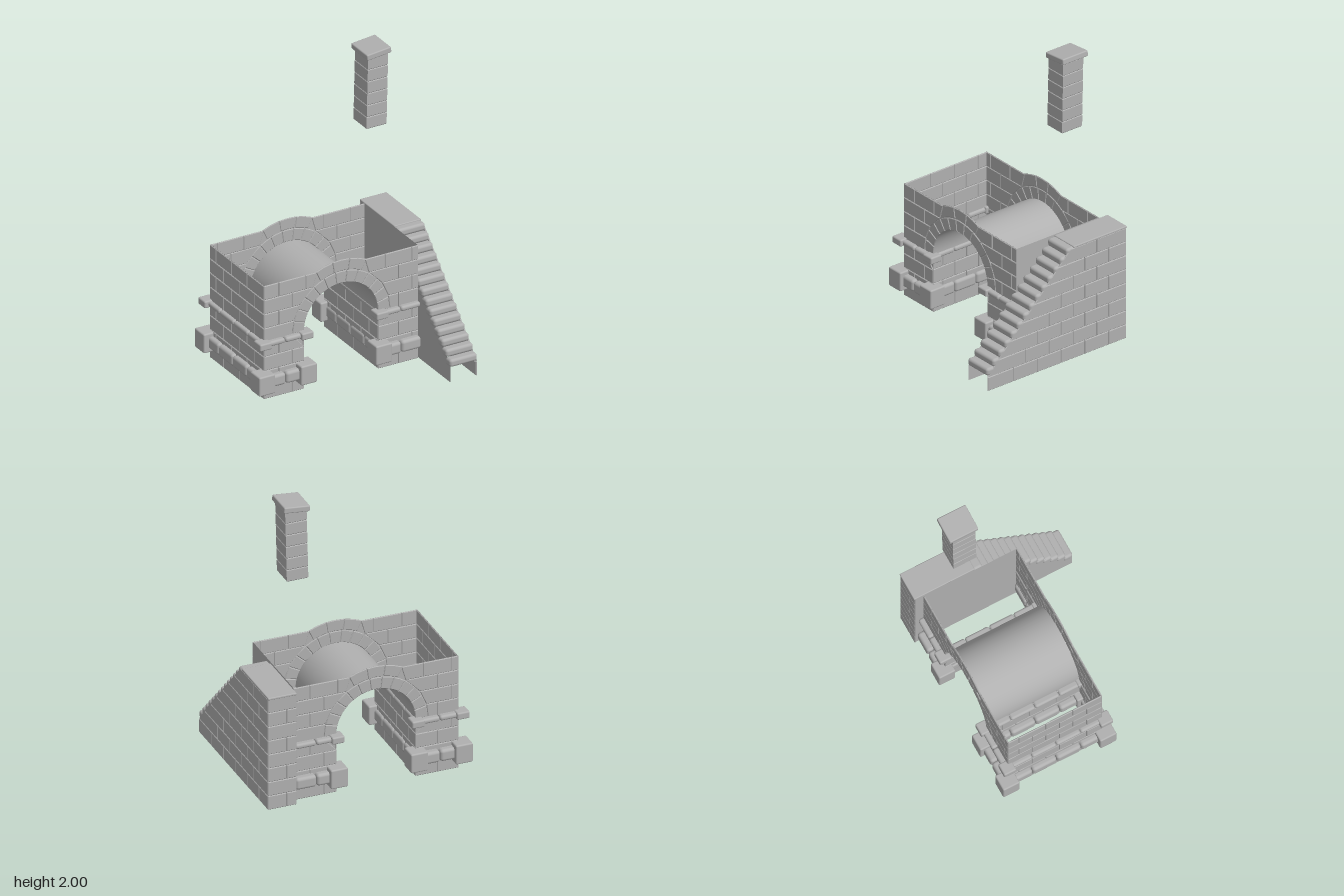
import * as THREE from 'three';
import { RoundedBoxGeometry } from 'three/addons/geometries/RoundedBoxGeometry.js';

const stone = new THREE.MeshStandardMaterial({ color: 0xb0b0b0, side: THREE.DoubleSide });
stone.name = 'grey stone';

const CX = -0.065;       // centre of the house in x
const CZ = -0.163;       // centre of the house in z
const HALF = 0.548;      // half width of the arched walls
const TOP = 0.785;       // wall height
const SPRING = 0.4;      // height where the arch starts
const ARCH = 0.265;      // arch opening radius

function add(parent, name, geometry, x = 0, y = 0, z = 0) {
  const mesh = new THREE.Mesh(geometry, stone);
  mesh.name = name;
  mesh.position.set(x, y, z);
  parent.add(mesh);
  return mesh;
}

function group(parent, name, x = 0, y = 0, z = 0, turn = 0) {
  const g = new THREE.Group();
  g.name = name;
  g.position.set(x, y, z);
  g.rotation.y = turn;
  parent.add(g);
  return g;
}

const polygon = (pts) => new THREE.Shape(pts.map(([x, y]) => new THREE.Vector2(x, y)));

// A slightly raised, bevelled stone on the plane z = 0
function slab(parent, name, pts) {
  add(parent, name, new THREE.ExtrudeGeometry(polygon(pts), {
    depth: 0.002, bevelThickness: 0.004, bevelSize: 0.004, bevelOffset: -0.004, bevelSegments: 1,
  }));
}

// Running bond of bricks between two edges given as functions of height
function bricks(parent, lo, hi, height, rows) {
  const h = height / rows, gap = 0.001, length = 0.19;
  for (let r = 0; r < rows; r++) {
    const a = r * h + gap, b = (r + 1) * h - gap;
    const joints = [];
    const min = Math.max(lo(a), lo(b)) + 0.045, max = Math.min(hi(a), hi(b)) - 0.045;
    for (let k = -6; k <= 6; k++) {
      const x = (k + (r % 2) / 2) * length + 0.03;
      if (x > min && x < max) joints.push(x);
    }
    for (let i = 0; i <= joints.length; i++) {
      const left = (y) => (i === 0 ? lo(y) : joints[i - 1] + gap);
      const right = (y) => (i === joints.length ? hi(y) : joints[i] - gap);
      slab(parent, 'brick', [[left(a), a], [right(a), a], [right(b), b], [left(b), b]]);
    }
  }
}

// Ring of wedge stones around the arch centre
function wedges(parent, name, r0, r1, from, to, count) {
  const step = (to - from) / count;
  for (let i = 0; i < count; i++) {
    const a = from + i * step + 0.004, b = a + step - 0.008;
    const p = (r, t) => [r * Math.cos(t), SPRING + r * Math.sin(t)];
    const m = (a + b) / 2;
    slab(parent, name, [p(r0, a), p(r1, a), p(r1, m), p(r1, b), p(r0, b), p(r0, m)]);
  }
}

// Wall with arched opening and a raised crown
function archWall(parent, name, z, turn) {
  const g = group(parent, name, CX, 0, z, turn);
  const crown = 0.425, t = Math.asin((TOP - SPRING) / crown);
  const s = new THREE.Shape();
  s.moveTo(-HALF, 0);
  s.lineTo(-ARCH, 0);
  s.lineTo(-ARCH, SPRING);
  s.absarc(0, SPRING, ARCH, Math.PI, 0, true);
  s.lineTo(ARCH, 0);
  s.lineTo(HALF, 0);
  s.lineTo(HALF, TOP);
  s.absarc(0, SPRING, crown, t, Math.PI - t, false);
  s.lineTo(-HALF, TOP);
  add(g, 'wall', new THREE.ShapeGeometry(s, 24));
  const cut = (y) => (y < 0.39 ? ARCH
    : Math.max(0.172, Math.sqrt(Math.max(0, 0.35 ** 2 - (y - SPRING) ** 2))));
  const edge = HALF + 0.005;
  bricks(g, () => -edge, (y) => -cut(y), TOP, 8);
  bricks(g, cut, () => edge, TOP, 8);
  wedges(g, 'arch stone', ARCH, 0.346, 0, Math.PI, 13);
  wedges(g, 'crown stone', 0.35, crown, t, Math.PI - t, 3);
}

// Straight wall, optionally faced with bricks
function flatWall(parent, name, pts, x, z, turn, lo, hi, height, rows) {
  const g = group(parent, name, x, 0, z, turn);
  add(g, 'wall', new THREE.ShapeGeometry(polygon(pts)));
  if (lo) bricks(g, lo, hi, height, rows);
}

const rect = (w, h) => [[-w, 0], [w, 0], [w, h], [-w, h]];

// Rounded moulding made of several stones between two points
function bar(parent, name, x0, z0, x1, z1, y, height, depth) {
  const alongX = z0 === z1, len = Math.abs(x1 - x0) + Math.abs(z1 - z0);
  const count = Math.max(2, Math.round(len / 0.16));
  for (let i = 0; i < count; i++) {
    const f = (i + 0.5) / count, l = len / count - 0.002;
    add(parent, name, new RoundedBoxGeometry(alongX ? l : depth, height, alongX ? depth : l, 3, depth * 0.3),
      x0 + (x1 - x0) * f, y, z0 + (z1 - z0) * f);
  }
}

// Corner blocks and bars around the two piers
function trims(parent) {
  const xs = [-0.63, -0.33, 0.206], zs = [-0.505, 0.175];
  const levels = [
    { name: 'plinth', y: 0.127, block: [0.115, 0.132], bar: [0.08, 0.065] },
    { name: 'ledge', y: 0.387, block: [0.085, 0.048], bar: [0.034, 0.05] },
  ];
  for (const { name, y, block, bar: [h, d] } of levels) {
    const g = group(parent, name);
    for (const z of zs) {
      for (const x of xs) {
        add(g, name + ' corner', new RoundedBoxGeometry(block[0], block[1], block[0], 2, 0.01), x, y, z);
      }
      bar(g, name + ' bar', xs[0], z, xs[1], z, y, h, d);
      bar(g, name + ' bar', xs[2], z, 0.488, z, y, h, d);
    }
    for (const x of [-0.62, -0.343, 0.222]) bar(g, name + ' bar', x, zs[0], x, zs[1], y, h, d);
  }
}

function house(parent) {
  const g = group(parent, 'house');
  archWall(g, 'frontWall', 0.162, 0);
  archWall(g, 'backWall', -0.488, Math.PI);
  const w = 0.325, edge = () => w + 0.005, start = () => -w - 0.005;
  flatWall(g, 'outerWall', rect(w, TOP), CX - HALF, CZ, -Math.PI / 2, start, edge, TOP, 8);
  flatWall(g, 'stairSideWall', rect(w, TOP), CX + HALF + 0.002, CZ, Math.PI / 2);
  // Tunnel walls face each other
  for (const s of [-1, 1]) {
    flatWall(g, 'tunnelWall', rect(w, SPRING), CX + s * (ARCH + 0.004), CZ, -s * Math.PI / 2, start, edge, SPRING, 4);
  }
  const vault = new THREE.CylinderGeometry(ARCH, ARCH, 0.655, 32, 1, true, Math.PI / 2, Math.PI);
  vault.rotateX(Math.PI / 2);
  add(g, 'vault', vault, CX, SPRING, CZ);
  trims(g);
}

function stairs(parent) {
  const g = group(parent, 'stairs');
  const front = 0.553, back = -0.545, top = 0.775;
  const slope = (y) => (y < 0.11 ? front : front - (y - 0.11) * 0.99);
  const side = (s) => [[s * front, 0], [s * front, 0.11], [s * slope(top), top], [s * back, top], [s * back, 0]];
  flatWall(g, 'outerSide', side(-1), 0.677, 0, Math.PI / 2, (y) => -slope(y), () => -back + 0.004, top, 8);
  flatWall(g, 'innerSide', side(1), 0.493, 0, -Math.PI / 2);
  flatWall(g, 'stairBack', rect(0.092, top), 0.585, back, Math.PI, () => -0.096, () => 0.096, top, 8);
  // Rounded treads
  for (let i = 0; i < 14; i++) {
    add(g, 'step', new RoundedBoxGeometry(0.196, 0.052, 0.066, 3, 0.018), 0.585, 0.13 + i * 0.048, 0.526 - i * 0.0488);
  }
  add(g, 'landing', new RoundedBoxGeometry(0.192, 0.016, 0.425, 2, 0.006), 0.586, 0.777, -0.3425);
}

function chimney(parent) {
  const g = group(parent, 'chimney', 0.405, 1.465, -0.283);
  // Square shaft with a shallow groove between courses
  const rows = 6, h = 0.49 / rows, pts = [];
  for (let i = 0; i < rows; i++) {
    for (const [f, r] of [[0, 0.076], [0.06, 0.08], [0.94, 0.08]]) pts.push(new THREE.Vector2(r * Math.SQRT2, (i + f) * h));
  }
  pts.push(new THREE.Vector2(0.076 * Math.SQRT2, rows * h));
  const shaft = new THREE.LatheGeometry(pts, 4, Math.PI / 4).toNonIndexed();
  shaft.scale(0.9, 1, 1);
  const p = shaft.attributes.position;
  for (let i = 0; i < p.count; i++) p.setX(i, p.getX(i) + p.getY(i) * 0.024); // gentle lean
  shaft.computeVertexNormals();
  add(g, 'shaft', shaft);
  const cap = add(g, 'cap', new RoundedBoxGeometry(0.175, 0.04, 0.2, 2, 0.008), 0.013, 0.507, -0.006);
  cap.rotation.z = 0.1;
}

export function createModel() {
  const model = new THREE.Group();
  model.name = 'stone house base';
  house(model);
  stairs(model);
  chimney(model);
  return model;
}
